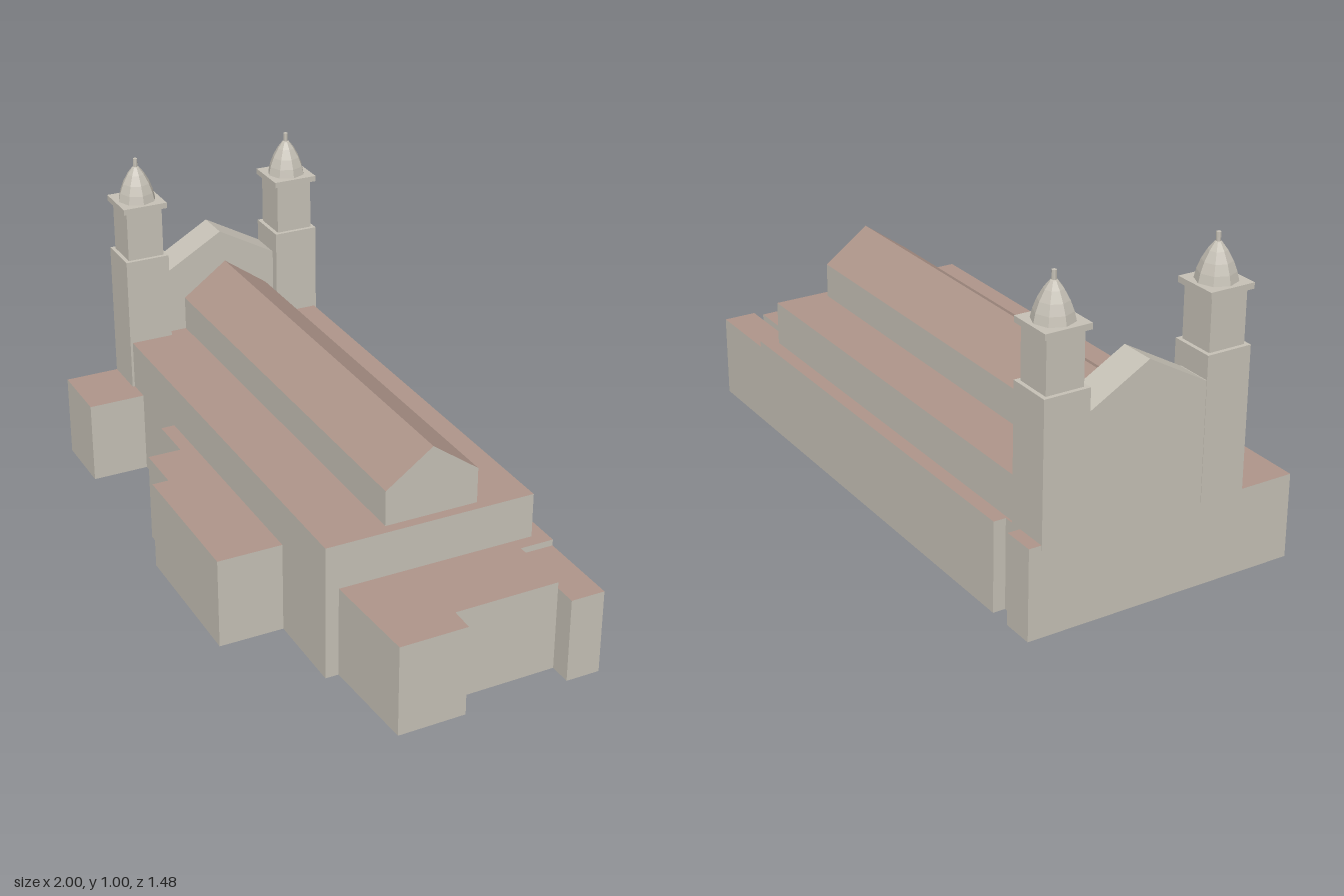
import * as THREE from 'three';

export function createModel() {
  const model = new THREE.Group();
  model.name = 'church';

  // The plan is drawn along its own axes (x = length, z = width), then turned.
  const church = new THREE.Group();
  church.name = 'churchBody';
  church.rotation.y = -31 * Math.PI / 180;
  model.add(church);

  const stone = new THREE.MeshStandardMaterial({ color: 0xc6c1b6, side: THREE.DoubleSide, flatShading: true });
  stone.name = 'stone';
  const roof = new THREE.MeshStandardMaterial({ color: 0xae958a, side: THREE.DoubleSide, flatShading: true });
  roof.name = 'roofTile';

  const add = (name, geometry, material, parent = church) => {
    const mesh = new THREE.Mesh(geometry, material);
    mesh.name = name;
    parent.add(mesh);
    return mesh;
  };

  // Upright wall following plan points [x, z]
  const wall = (name, pts, y0, y1) => {
    const pos = [];
    for (let i = 0; i < pts.length - 1; i++) {
      const [ax, az] = pts[i], [bx, bz] = pts[i + 1];
      pos.push(ax, y0, az, ax, y1, az, bx, y1, bz, ax, y0, az, bx, y1, bz, bx, y0, bz);
    }
    const g = new THREE.BufferGeometry();
    g.setAttribute('position', new THREE.Float32BufferAttribute(pos, 3));
    g.computeVertexNormals();
    add(name, g, stone);
  };

  // Flat roof filling plan points [x, z]
  const flatRoof = (name, pts, y) => {
    const g = new THREE.ShapeGeometry(new THREE.Shape(pts.map(([x, z]) => new THREE.Vector2(x, -z))));
    g.rotateX(-Math.PI / 2);
    g.translate(0, y, 0);
    add(name, g, roof);
  };

  // Cross-section [z, y] pushed along the length
  const prism = (name, pts, x0, x1, material) => {
    const shape = new THREE.Shape(pts.map(([z, y]) => new THREE.Vector2(-z, y)));
    const g = new THREE.ExtrudeGeometry(shape, { depth: x1 - x0, bevelEnabled: false });
    g.rotateY(Math.PI / 2);
    g.translate(x0, 0, 0);
    add(name, g, material);
  };

  const rect = (x0, x1, z0, z1) => [[x0, z1], [x1, z1], [x1, z0], [x0, z0], [x0, z1]];

  // Low block, open below
  const lowBlock = (name, plan, y) => {
    wall(name + 'Wall', plan, 0, y);
    flatRoof(name + 'Roof', plan.slice(0, -1), y);
  };

  const low = 0.277, cornerTop = 0.258, aisleTop = 0.413, eaves = 0.52;
  const front = -0.857, back = -0.745, rear = 0.657, L = 0.337, R = -0.302;

  // Low storey: stepped annexes on the left, wing along the right and rear
  const annex = [[-0.387, L], [-0.387, 0.38], [-0.236, 0.38], [-0.236, 0.483],
    [-0.08, 0.483], [-0.08, 0.533], [0.39, 0.533], [0.39, L]];
  const rearEdge = [[rear, 0.297], [0.969, 0.281], [0.967, 0.077], [0.893, 0.075], [0.89, -0.243]];
  const step = [[0.89, -0.243], [0.698, -0.243], [0.698, -0.346]];
  const sideEdge = [[0.698, -0.346], [-0.686, -0.346], [-0.686, -0.308], [-0.757, -0.308]];
  const corner = [[0.89, -0.243], [0.958, -0.243], [0.958, -0.346], [0.698, -0.346]];
  wall('annexWall', [[back, L], ...annex, [rear, L], [rear, 0.297]], 0, low);
  wall('rearWingWall', rearEdge, 0, low);
  wall('innerRearWall', [[rear, 0.297], [rear, R]], 0, low);
  wall('sideWingWall', sideEdge, 0, low);
  wall('cornerRoomWall', corner, 0, cornerTop);
  wall('roofStep', step, cornerTop, low);
  flatRoof('lowRoof', [[back, L], ...annex, [rear, L], ...rearEdge, ...step.slice(1),
    ...sideEdge.slice(1, 3), [back, -0.308]], low);
  flatRoof('cornerRoomRoof', [...corner, [0.698, -0.243]], cornerTop);

  // Aisles: long main body with flat roof
  const aisle = rect(back, rear, R, L);
  wall('aisleWall', aisle, low, aisleTop);
  flatRoof('aisleRoof', aisle.slice(0, -1), aisleTop);

  // Raised nave with pitched roof
  wall('naveWall', rect(back, 0.626, -0.14, 0.143), aisleTop, eaves);
  prism('naveRoof', [[0.143, eaves], [0.001, 0.622], [-0.14, eaves]], back, 0.626, [stone, roof]);

  // Facade with gable, and low blocks at both ends
  wall('facadeBase', rect(front, back, -0.308, L), 0, 0.26);
  prism('facade', [[L, 0.26], [L, 0.6], [0.2, 0.62], [0.016, 0.725], [-0.17, 0.62],
    [-0.308, 0.6], [-0.308, 0.26]], front, back, stone);
  lowBlock('leftLowBlock', rect(front, -0.644, L, 0.515), 0.26);
  lowBlock('rightLowBlock', rect(front, -0.756, -0.347, -0.308), low);

  // Twin bell towers
  for (const [name, z] of [['leftTower', 0.274], ['rightTower', -0.238]]) {
    const tower = new THREE.Group();
    tower.name = name;
    tower.position.set(-0.788, 0, z);
    church.add(tower);
    const tier = (part, half, y0, y1) => {
      const m = add(part, new THREE.BoxGeometry(2 * half, y1 - y0, 2 * half), stone, tower);
      m.position.y = (y0 + y1) / 2;
    };
    tier('towerShaft', 0.0705, 0.255, 0.69);
    tier('belfry', 0.058, 0.69, 0.85);
    tier('cornice', 0.071, 0.849, 0.867);
    const profile = [[0.06, 0.867], [0.054, 0.893], [0.043, 0.922], [0.027, 0.951], [0.011, 0.972],
      [0.007, 0.974], [0.007, 1], [0, 1]].map(([r, y]) => new THREE.Vector2(r, y));
    add('dome', new THREE.LatheGeometry(profile, 8), stone, tower);
  }

  return model;
}
